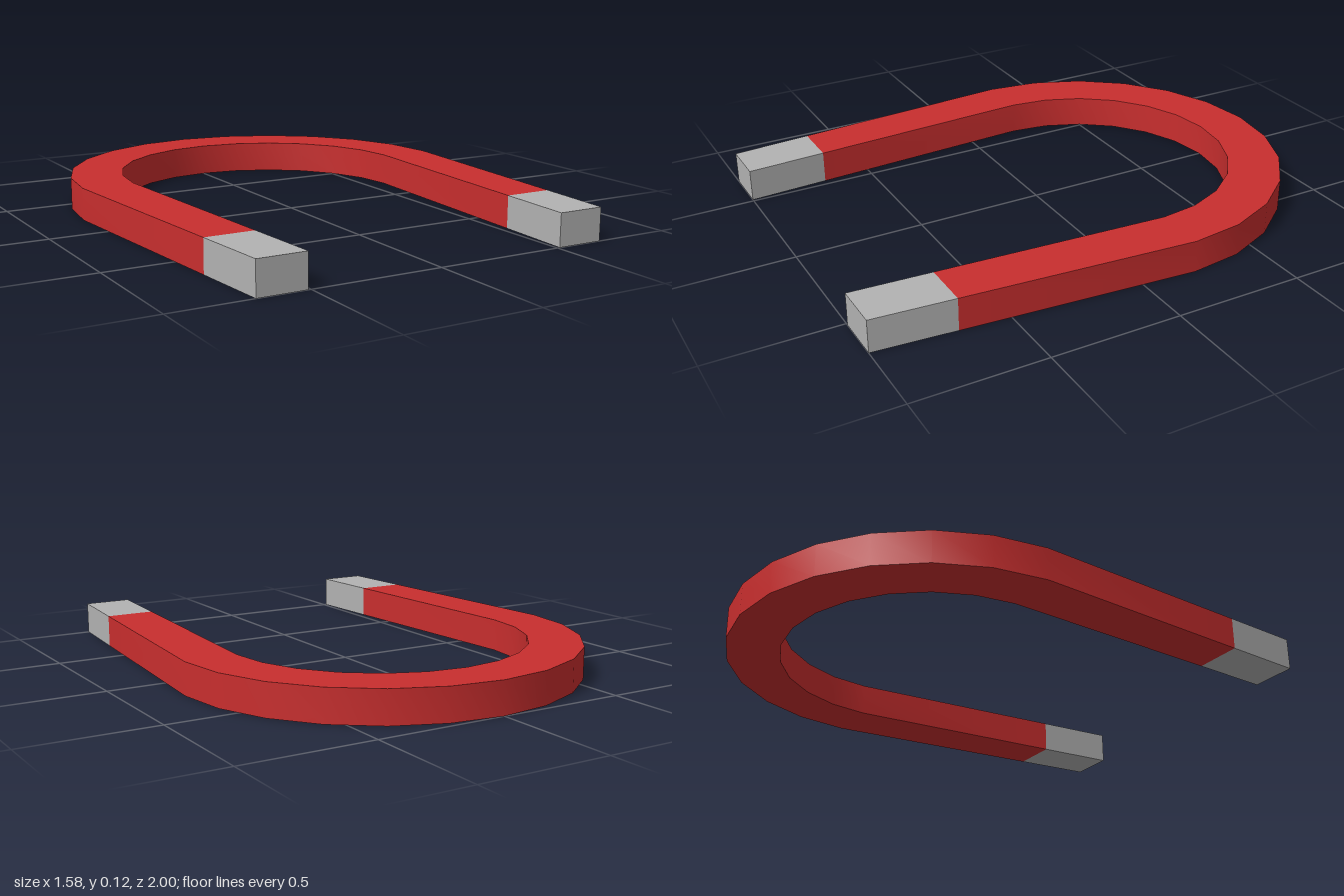
import * as THREE from 'three';
import { toCreasedNormals } from 'three/addons/utils/BufferGeometryUtils.js';

const HEIGHT = 0.125;
const ARC_Z = -0.21, OUTER = 0.79, INNER = 0.585, STEPS = 12;
const TIP_Z = 1, SPLIT_Z = 0.69, TIP_OUTER = 0.695, TIP_INNER = 0.51;

const red = new THREE.MeshStandardMaterial({ color: 0xc82e2e });
red.name = 'red paint';
const steel = new THREE.MeshStandardMaterial({ color: 0xb2b2b2 });
steel.name = 'bare steel';

// x of a tapering leg edge at a given z
function legX(radius, tip, z) {
  return THREE.MathUtils.mapLinear(z, ARC_Z, TIP_Z, radius, tip);
}

// Plate lying on the ground from an outline of [x, z] points
function plate(name, outline, material) {
  const shape = new THREE.Shape(outline.map(([x, z]) => new THREE.Vector2(x, -z)));
  const geometry = new THREE.ExtrudeGeometry(shape, { depth: HEIGHT, bevelEnabled: false });
  geometry.rotateX(-Math.PI / 2);
  const mesh = new THREE.Mesh(toCreasedNormals(geometry, 0.6), material);
  mesh.name = name;
  return mesh;
}

// Half-circle of points running from +x over the back to -x
function arc(radius) {
  return Array.from({ length: STEPS + 1 }, (_, i) => {
    const a = (i / STEPS) * Math.PI;
    return [radius * Math.cos(a), ARC_Z - radius * Math.sin(a)];
  });
}

export function createModel() {
  const magnet = new THREE.Group();
  magnet.name = 'horseshoeMagnet';

  // Red bow with the upper part of both legs
  const so = legX(OUTER, TIP_OUTER, SPLIT_Z);
  const si = legX(INNER, TIP_INNER, SPLIT_Z);
  magnet.add(plate('redBow', [
    [so, SPLIT_Z], ...arc(OUTER), [-so, SPLIT_Z],
    [-si, SPLIT_Z], ...arc(INNER).reverse(), [si, SPLIT_Z],
  ], red));

  // Steel pole tips
  for (const [name, s] of [['leftPole', 1], ['rightPole', -1]]) {
    magnet.add(plate(name, [
      [s * si, SPLIT_Z], [s * so, SPLIT_Z], [s * TIP_OUTER, TIP_Z], [s * TIP_INNER, TIP_Z],
    ], steel));
  }
  return magnet;
}
